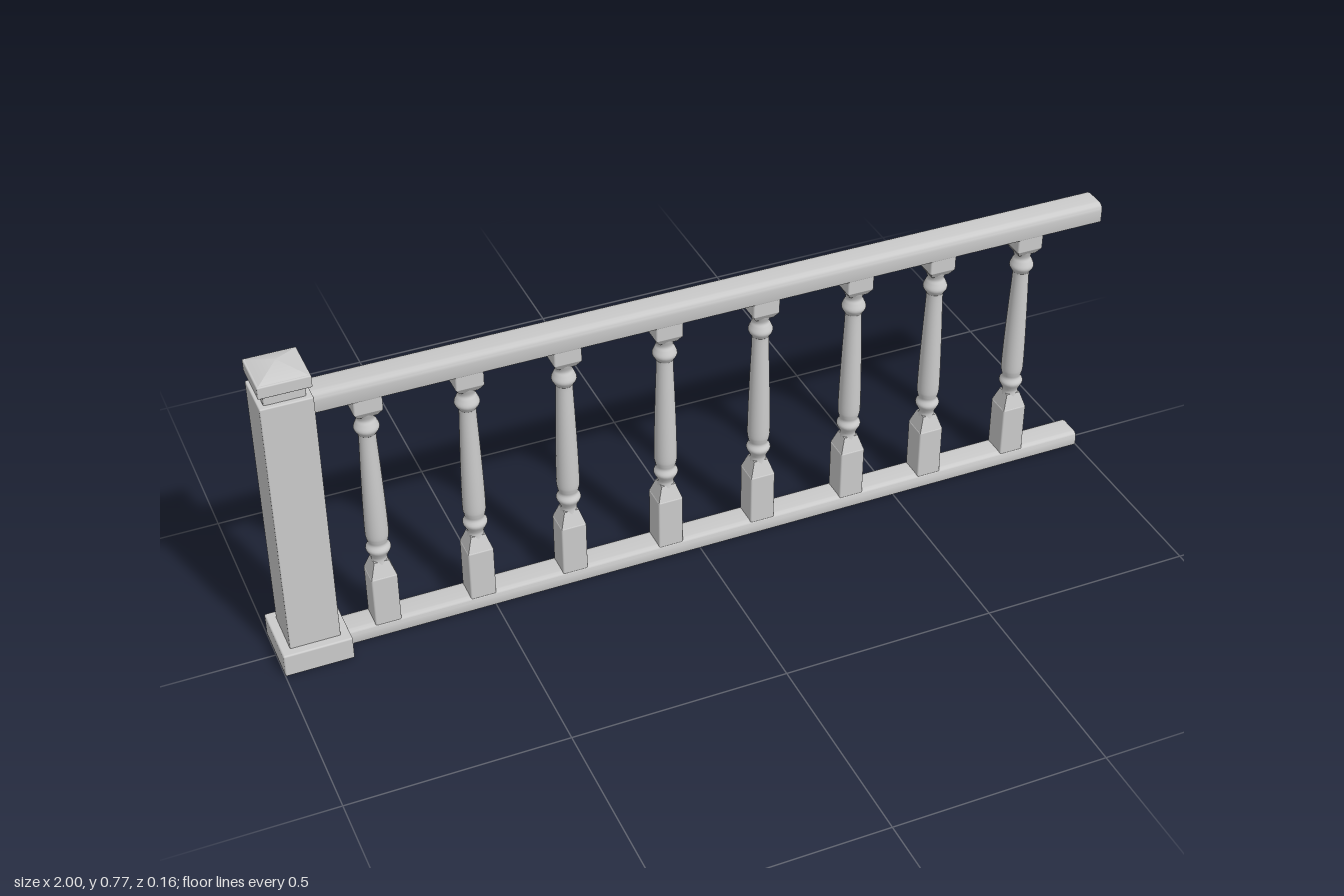
import * as THREE from 'three';
import { toCreasedNormals } from 'three/addons/utils/BufferGeometryUtils.js';
import { RoundedBoxGeometry } from 'three/addons/geometries/RoundedBoxGeometry.js';

const material = new THREE.MeshStandardMaterial({ color: 0xcccccc });

function add(parent, name, geometry, x = 0, y = 0, z = 0) {
  const mesh = new THREE.Mesh(geometry, material);
  mesh.name = name;
  mesh.position.set(x, y, z);
  parent.add(mesh);
  return mesh;
}

// Box standing on y0 and reaching y1, with slightly softened edges
function block(parent, name, width, y0, y1, radius = 0.004) {
  add(parent, name, new RoundedBoxGeometry(width, y1 - y0, width, 2, radius), 0, (y0 + y1) / 2);
}

// Square frustum between two heights
function taper(parent, name, wBottom, wTop, y0, y1) {
  const geo = new THREE.CylinderGeometry(wTop * Math.SQRT1_2, wBottom * Math.SQRT1_2, y1 - y0, 4);
  geo.rotateY(Math.PI / 4);
  add(parent, name, toCreasedNormals(geo, 0.5), 0, (y0 + y1) / 2);
}

// Rail along x with rounded upper corners
function rail(parent, name, x0, x1, width, y0, y1, r) {
  const w = width / 2, b = 0.004, h = y1 - y0;
  const s = new THREE.Shape();
  s.moveTo(-w + b, 0);
  s.lineTo(w - b, 0);
  s.quadraticCurveTo(w, 0, w, b);
  s.lineTo(w, h - r);
  s.quadraticCurveTo(w, h, w - r, h);
  s.lineTo(-w + r, h);
  s.quadraticCurveTo(-w, h, -w, h - r);
  s.lineTo(-w, b);
  s.quadraticCurveTo(-w, 0, -w + b, 0);
  const bevel = 0.004;
  const geo = new THREE.ExtrudeGeometry(s, {
    depth: x1 - x0 - 2 * bevel, curveSegments: 6,
    bevelEnabled: true, bevelThickness: bevel, bevelSize: bevel, bevelOffset: -bevel, bevelSegments: 2,
  });
  geo.rotateY(Math.PI / 2);
  add(parent, name, toCreasedNormals(geo, 0.6), x0 + bevel, y0, -0.001);
}

// Turned spindle outline as [radius, height]
const spindle = new THREE.SplineCurve([
  [0.022, 0.175], [0.018, 0.198], [0.021, 0.21], [0.028, 0.226], [0.022, 0.24], [0.024, 0.252],
  [0.026, 0.27], [0.025, 0.34], [0.022, 0.44], [0.019, 0.525], [0.021, 0.536], [0.028, 0.55],
  [0.023, 0.565], [0.019, 0.576], [0.025, 0.595], [0.026, 0.61],
].map(([r, y]) => new THREE.Vector2(r, y))).getPoints(60);
const spindleGeometry = new THREE.LatheGeometry(spindle, 24);

function baluster(x) {
  const g = new THREE.Group();
  g.name = 'baluster';
  g.position.x = x;
  block(g, 'balusterFoot', 0.06, 0.025, 0.16);
  taper(g, 'balusterFootShoulder', 0.058, 0.034, 0.158, 0.195);
  add(g, 'balusterSpindle', spindleGeometry);
  taper(g, 'balusterHeadShoulder', 0.042, 0.062, 0.588, 0.604);
  block(g, 'balusterHead', 0.064, 0.602, 0.645);
  return g;
}

export function createModel() {
  const model = new THREE.Group();
  model.name = 'railing';

  // Newel post with plinth, neck and pyramid cap
  const post = new THREE.Group();
  post.name = 'newelPost';
  post.position.x = -0.922;
  block(post, 'postPlinth', 0.156, 0, 0.057);
  block(post, 'postShaft', 0.114, 0.04, 0.695, 0.003);
  block(post, 'postNeck', 0.09, 0.685, 0.728, 0.003);
  block(post, 'postCap', 0.114, 0.72, 0.749, 0.003);
  taper(post, 'postCapPyramid', 0.11, 0.004, 0.748, 0.768);
  model.add(post);

  // Handrail and bottom rail
  rail(model, 'handrail', -0.88, 1, 0.071, 0.638, 0.686, 0.018);
  rail(model, 'bottomRail', -0.88, 1, 0.068, 0, 0.036, 0.014);

  // Row of balusters
  for (const x of [-0.749, -0.527, -0.307, -0.072, 0.158, 0.388, 0.594, 0.818]) model.add(baluster(x));

  return model;
}
